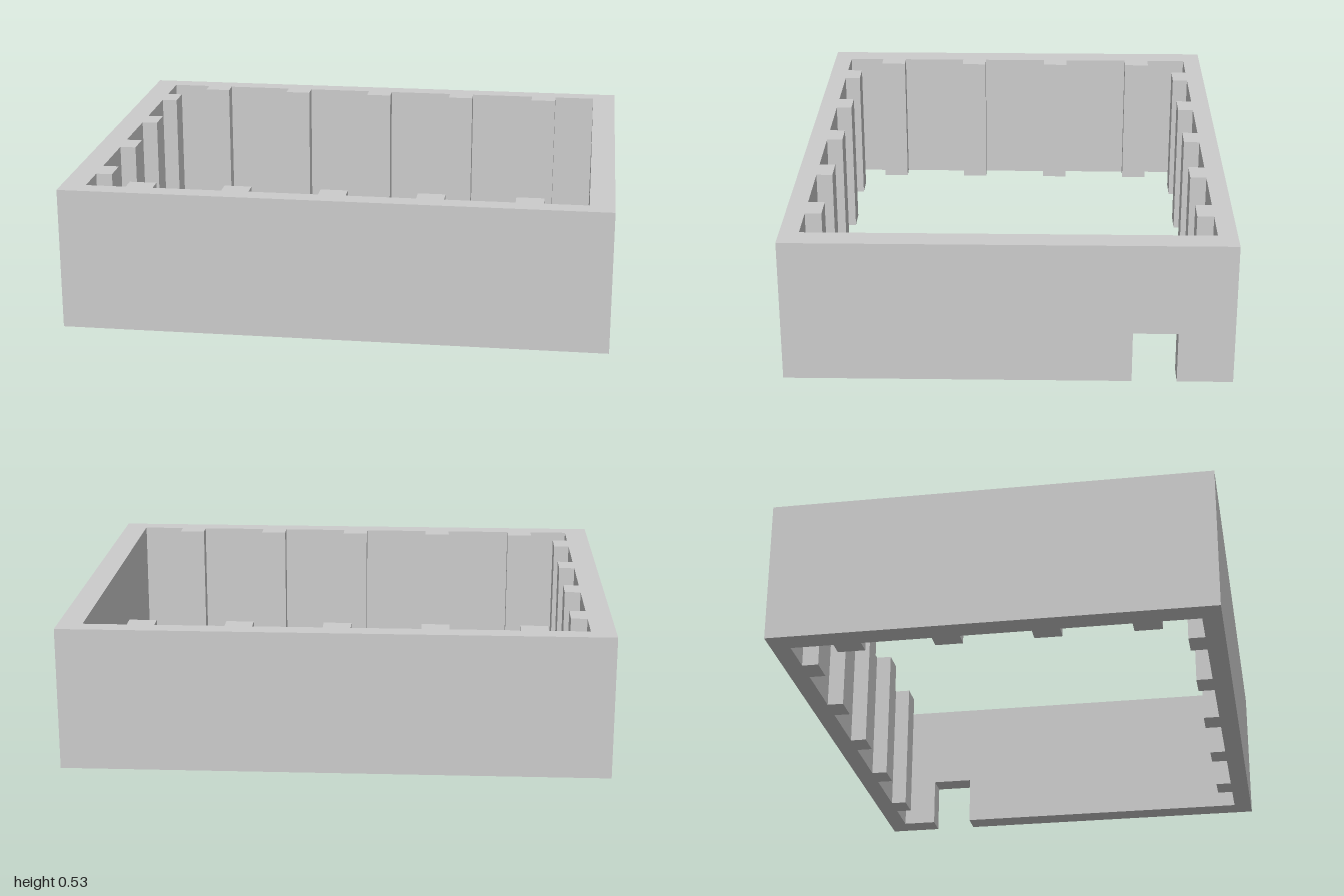
import * as THREE from 'three';

const HEIGHT = 0.53, NOTCH_H = 0.19;
const OUT_X = 1, OUT_Z = 0.8, IN_X = 0.91, IN_Z = 0.73;
const RIB_HALF = 0.05, RIB_DEPTH = 0.06;
const NOTCH_NEAR = 0.44, NOTCH_FAR = 0.6; // distance towards the back (-z)
const LONG_RIBS = [-0.712, -0.359, -0.006, 0.347, 0.7];
const SIDE_RIBS = [-0.54, -0.187, 0.168, 0.523]; // as -z, front to back

export function createModel() {
  const group = new THREE.Group();
  group.name = 'ribbedFrame';
  const material = new THREE.MeshStandardMaterial({ color: 0xcccccc, flatShading: true });

  // Plan outline (x, -z): outer wall, then back along the ribbed inner wall
  const points = [
    [OUT_X, NOTCH_FAR], [OUT_X, OUT_Z], [-OUT_X, OUT_Z], [-OUT_X, -OUT_Z], [OUT_X, -OUT_Z],
    [OUT_X, NOTCH_NEAR], [IN_X, NOTCH_NEAR], [IN_X, -IN_Z],
  ];
  // Steps the outline around one rib; dir is the walking direction along the wall
  const rib = (centre, dir, wall, top, toPoint) => {
    const a = centre - dir * RIB_HALF, b = centre + dir * RIB_HALF;
    points.push(toPoint(a, wall), toPoint(a, top), toPoint(b, top), toPoint(b, wall));
  };
  const alongX = (t, d) => [t, d];
  const alongZ = (t, d) => [d, t];

  [...LONG_RIBS].reverse().forEach((c) => rib(c, -1, -IN_Z, -IN_Z + RIB_DEPTH, alongX));
  points.push([-IN_X, -IN_Z]);
  SIDE_RIBS.forEach((c) => rib(c, 1, -IN_X, -IN_X + RIB_DEPTH, alongZ));
  points.push([-IN_X, IN_Z]);
  LONG_RIBS.forEach((c) => rib(c, 1, IN_Z, IN_Z - RIB_DEPTH, alongX));
  points.push([IN_X, IN_Z], [IN_X, NOTCH_FAR]);

  const shape = new THREE.Shape(points.map(([x, y]) => new THREE.Vector2(x, y)));
  const wallGeometry = new THREE.ExtrudeGeometry(shape, { depth: HEIGHT, bevelEnabled: false });
  wallGeometry.rotateX(-Math.PI / 2);
  const walls = new THREE.Mesh(wallGeometry, material);
  walls.name = 'ribbedWalls';
  group.add(walls);

  // Wall section bridging the doorway notch
  const lintel = new THREE.Mesh(
    new THREE.BoxGeometry(OUT_X - IN_X, HEIGHT - NOTCH_H, NOTCH_FAR - NOTCH_NEAR), material);
  lintel.position.set((OUT_X + IN_X) / 2, (HEIGHT + NOTCH_H) / 2, -(NOTCH_FAR + NOTCH_NEAR) / 2);
  lintel.name = 'notchLintel';
  group.add(lintel);

  return group;
}
